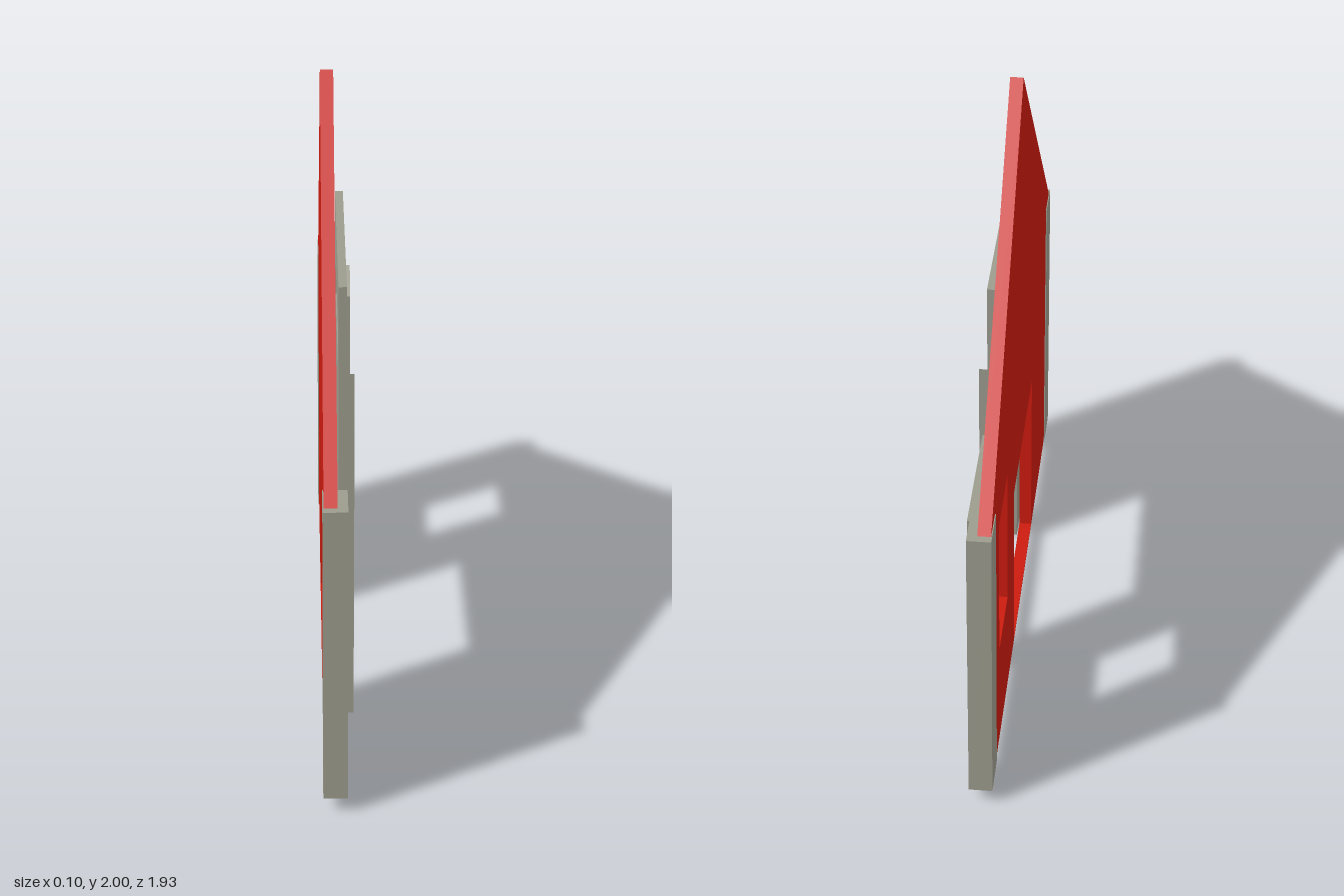
import * as THREE from 'three';

const red = new THREE.MeshStandardMaterial({ color: 0xcc1b0e });
const grey = new THREE.MeshStandardMaterial({ color: 0x9c9c8e });

const rect = (z0, y0, z1, y1) => [[z0, y0], [z1, y0], [z1, y1], [z0, y1]];
const points = (list) => list.map(([z, y]) => new THREE.Vector2(z, y));

// Flat panel drawn in (z, y), filling x0..x1, with optional holes
function panel(name, outline, x0, x1, material, holes = []) {
  const shape = new THREE.Shape(points(outline));
  shape.holes = holes.map((h) => new THREE.Path(points(h)));
  const geometry = new THREE.ExtrudeGeometry(shape, { depth: x1 - x0, bevelEnabled: false });
  geometry.rotateY(-Math.PI / 2).translate(x1, 0, 0);
  const mesh = new THREE.Mesh(geometry, material);
  mesh.name = name;
  return mesh;
}

export function createModel() {
  const model = new THREE.Group();
  model.name = 'barnFront';
  const windowHole = rect(-0.725, 0.41, -0.475, 0.895);

  // Gabled wall with doorway (thin sill) and window opening
  model.add(panel('gableWall',
    [[-0.945, 0.05], [0.945, 0.05], [0.945, 1.025], [0, 2], [-0.945, 1.025]],
    -0.05, -0.01, red,
    [rect(-0.27, 0.056, 0.337, 0.665), windowHole]));

  // Corner boards wrapping both ends of the wall
  for (const s of [1, -1]) {
    model.add(panel(s > 0 ? 'frontCornerBoard' : 'backCornerBoard',
      rect(s > 0 ? 0.835 : -0.967, 0.05, s > 0 ? 0.967 : -0.835, 1.028),
      -0.053, 0.02, grey));
  }

  // Door posts with tops sloping down towards the doorway
  for (const [name, outer, inner] of [['frontDoorPost', 0.436, 0.342], ['backDoorPost', -0.362, -0.268]]) {
    model.add(panel(name, [[outer, 0], [inner, 0], [inner, 1.13], [outer, 1.2]], 0, 0.048, grey));
  }

  // Raised door with a slot
  model.add(panel('raisedDoor', rect(-0.335, 0.66, 0.405, 1.47), 0, 0.025, grey,
    [rect(-0.215, 1.165, 0.27, 1.29)]));

  // Window frame
  model.add(panel('windowFrame', rect(-0.81, 0.33, -0.39, 0.975), 0.003, 0.035, grey, [windowHole]));

  return model;
}
